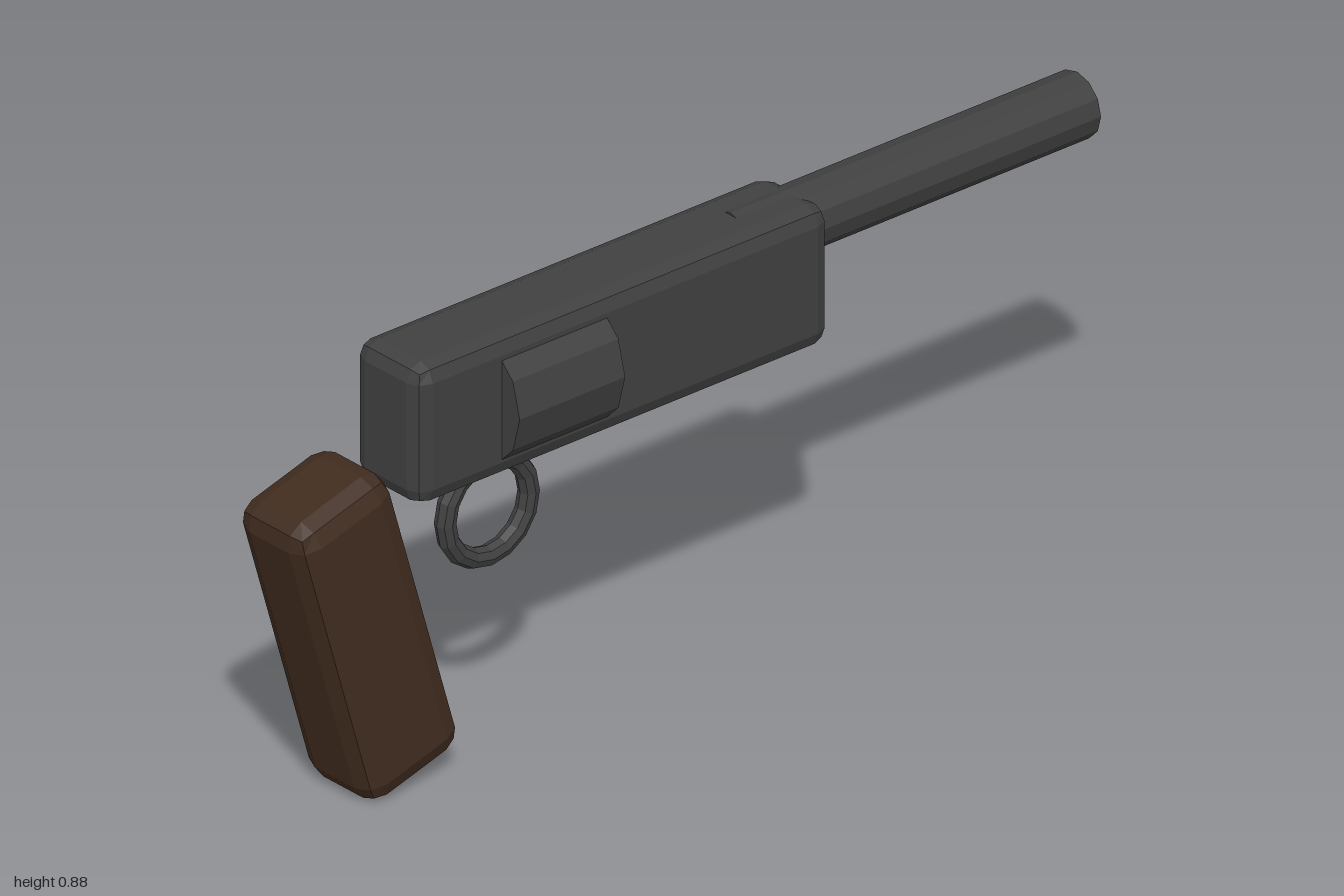
import * as THREE from 'three';
import { RoundedBoxGeometry } from 'three/addons/geometries/RoundedBoxGeometry.js';

export function createModel() {
  const model = new THREE.Group();

  const gunmetal = new THREE.MeshStandardMaterial({ color: 0x404040, flatShading: true });
  gunmetal.name = 'gunmetal';
  const wood = new THREE.MeshStandardMaterial({ color: 0x402c1f, flatShading: true });
  wood.name = 'dark wood';

  const add = (name, geometry, material, x, y) => {
    const mesh = new THREE.Mesh(geometry, material);
    mesh.name = name;
    mesh.position.set(x, y, 0);
    model.add(mesh);
    return mesh;
  };

  // Twelve-sided rod lying along x
  const rod = (radius, x0, x1) =>
    new THREE.CylinderGeometry(radius, radius, x1 - x0, 12).rotateZ(-Math.PI / 2);

  // Bevelled body
  add('receiver', new RoundedBoxGeometry(1.02, 0.295, 0.188, 1, 0.035), gunmetal, -0.195, 0.735);

  // Barrel starts inside the body, just breaking its top surface
  add('barrel', rod(0.068, 0.145, 1), gunmetal, 0.5725, 0.819);

  // Drum bulging out of both sides
  add('drum', rod(0.145, -0.5, -0.24), gunmetal, -0.37, 0.733);

  // Ring under the body
  add('triggerGuard', new THREE.TorusGeometry(0.103, 0.021, 8, 16), gunmetal, -0.455, 0.477);

  // Tilted bevelled grip
  const grip = add('grip', new RoundedBoxGeometry(0.243, 0.665, 0.202, 1, 0.045), wood, -0.795, 0.346);
  grip.rotation.z = 0.286;

  return model;
}
